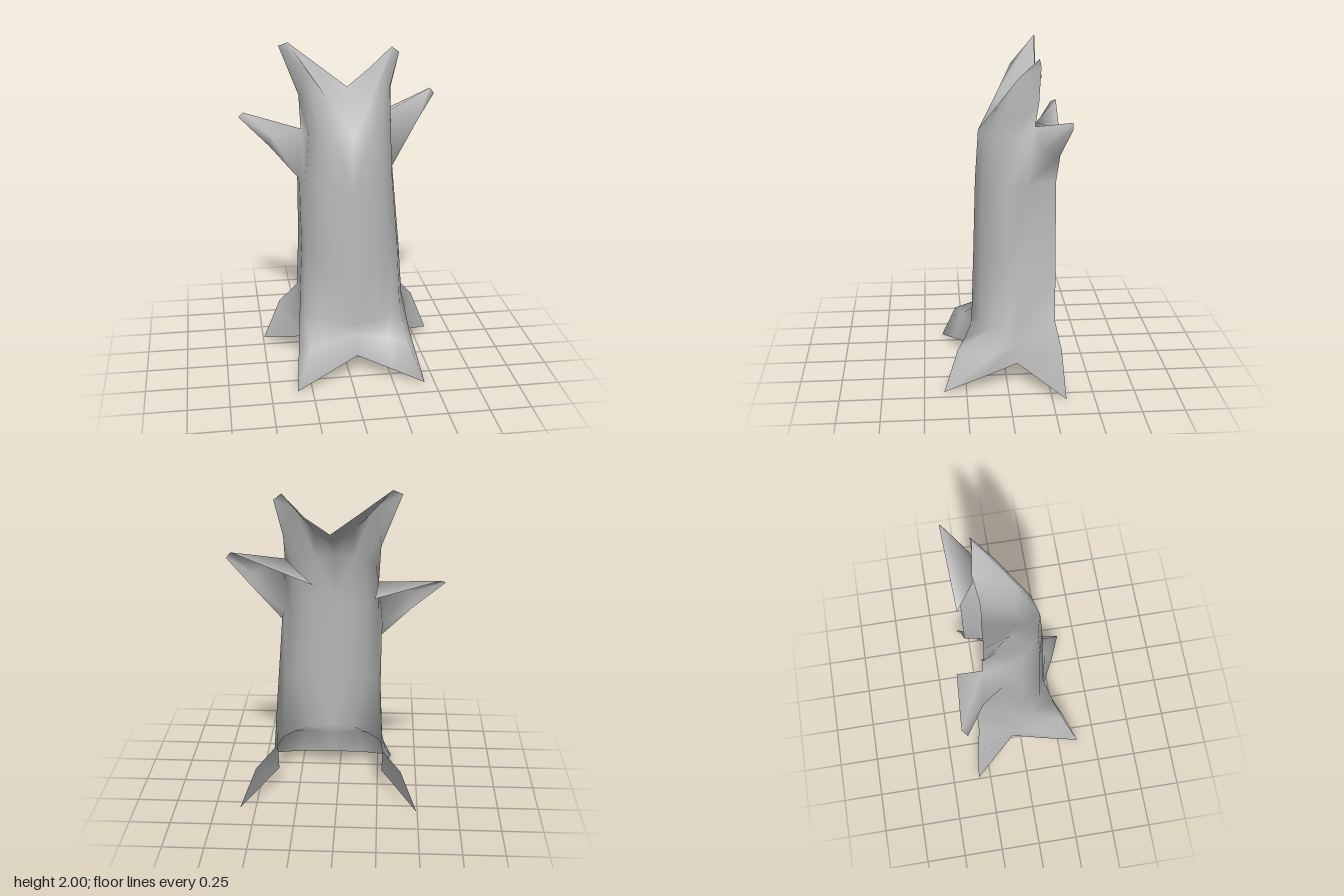
import * as THREE from 'three';
import { mergeVertices } from 'three/addons/utils/BufferGeometryUtils.js';

const bark = new THREE.MeshStandardMaterial({ color: 0xbababa, side: THREE.DoubleSide });
bark.name = 'grey bark';

// Half cross-section of the trunk, from the open back edge to the front centre:
// [share of half width, z at the back or share of front depth]
const COLUMNS = [[1, -0.282], [1, -0.07], [0.93, 0.02], [0.72, 0.43], [0.44, 0.79], [0, 1]];

// Trunk levels: [y, centre x, half width, front depth, extra height at the back]
const LEVELS = [
  [0.33, 0.05, 0.325, 0.2, 0.08],
  [0.75, 0.045, 0.305, 0.185, 0],
  [1.2, 0.025, 0.285, 0.17, 0],
  [1.5, 0.03, 0.265, 0.15, 0],
];

// Root flare, measured from x = 0.05 and mirrored
const ROOT_TIPS = [[0.545, 0.01, -0.33], [0.325, 0.14, -0.06], [0.36, 0.07, 0.16], [0.39, 0, 0.383], [0.21, 0.06, 0.31], [0, 0.12, 0.21]];
const ROOT_TOPS = [[0.44, 0.28, -0.31], [0.33, 0.28, -0.06], [0.35, 0.21, 0.09], [0.3, 0.235, 0.295], [0.18, 0.25, 0.25], [0, 0.26, 0.205]];

// Each side has its own branch and broken peak
const SIDES = [
  {
    sign: -1,
    crotch: [-0.24, 1.47, -0.22],
    branch: {
      root: [-0.26, 1.17, -0.28], wall: [-0.262, 1.18, -0.12], belly: [-0.42, 1.42, -0.245], under: [-0.43, 1.345, -0.3],
      top: [-0.58, 1.54, -0.385], tip: [-0.61, 1.52, -0.355], flap: [-0.22, 1.42, -0.365],
    },
    shoulder: [[-0.25, 1.68, -0.22], [-0.24, 1.72, -0.14], [-0.205, 1.85, -0.06], [-0.09, 1.69, 0.035], [0.04, 1.63, -0.005]],
    rim: [[-0.365, 1.98, -0.22], [-0.365, 1.98, -0.22], [-0.31, 2, -0.21], [-0.12, 1.853, -0.197], [0.04, 1.73, -0.18]],
  },
  {
    sign: 1,
    crotch: [0.3, 1.58, -0.16],
    branch: {
      root: [0.31, 1.26, -0.282], wall: [0.312, 1.24, -0.12], belly: [0.475, 1.5, -0.185], under: [0.485, 1.46, -0.28],
      top: [0.585, 1.67, -0.335], tip: [0.61, 1.635, -0.33], flap: [0.13, 1.475, -0.31],
    },
    shoulder: [[0.305, 1.72, -0.18], [0.29, 1.74, -0.12], [0.245, 1.84, -0.065], [0.145, 1.68, 0.035], [0.04, 1.63, -0.005]],
    rim: [[0.355, 1.93, -0.185], [0.355, 1.93, -0.185], [0.31, 1.965, -0.18], [0.18, 1.835, -0.205], [0.04, 1.73, -0.18]],
  },
];

function addSide({ sign, crotch, branch, shoulder, rim }, positions) {
  const tri = (a, b, c) => positions.push(...a, ...(sign > 0 ? b : c), ...(sign > 0 ? c : b));
  const roots = (row) => row.map(([x, y, z]) => [0.05 + sign * x, y, z]);
  const { root, wall, belly, under, top, tip, flap } = branch;

  // Rows from the root tips up to the broken rim
  const rows = [roots(ROOT_TIPS), roots(ROOT_TOPS)];
  for (const [y, cx, half, depth, lift] of LEVELS) {
    rows.push(COLUMNS.map(([u, z]) => [cx + sign * u * half, z < 0 ? y + lift : y, z < 0 ? z : z * depth]));
  }
  rows[4].splice(0, 2, root, wall);
  rows[5][1] = crotch;
  rows.push([null, ...shoulder], [null, ...rim]);

  // Wall; above the branch it starts one column further forward
  for (let r = 0; r < rows.length - 1; r++) {
    for (let k = r < 4 ? 0 : 1; k < 5; k++) {
      const a = rows[r][k], b = rows[r][k + 1], c = rows[r + 1][k + 1], d = rows[r + 1][k];
      tri(b, a, d);
      tri(b, d, c);
    }
  }

  // Hollow branch growing out of the wall, open behind, with a flap folded to the back
  tri(wall, belly, crotch);
  tri(belly, wall, under);
  tri(under, wall, root);
  tri(crotch, belly, top);
  tri(top, belly, tip);
  tri(tip, belly, under);
  tri(crotch, top, flap);
}

export function createModel() {
  const positions = [];
  SIDES.forEach((side) => addSide(side, positions));

  // Weld the two halves so the bark shades smoothly
  let geometry = new THREE.BufferGeometry();
  geometry.setAttribute('position', new THREE.Float32BufferAttribute(positions, 3));
  geometry = mergeVertices(geometry, 1e-4);
  geometry.computeVertexNormals();

  const stump = new THREE.Mesh(geometry, bark);
  stump.name = 'hollowTreeStump';
  const group = new THREE.Group();
  group.name = 'treeStump';
  group.add(stump);
  return group;
}
